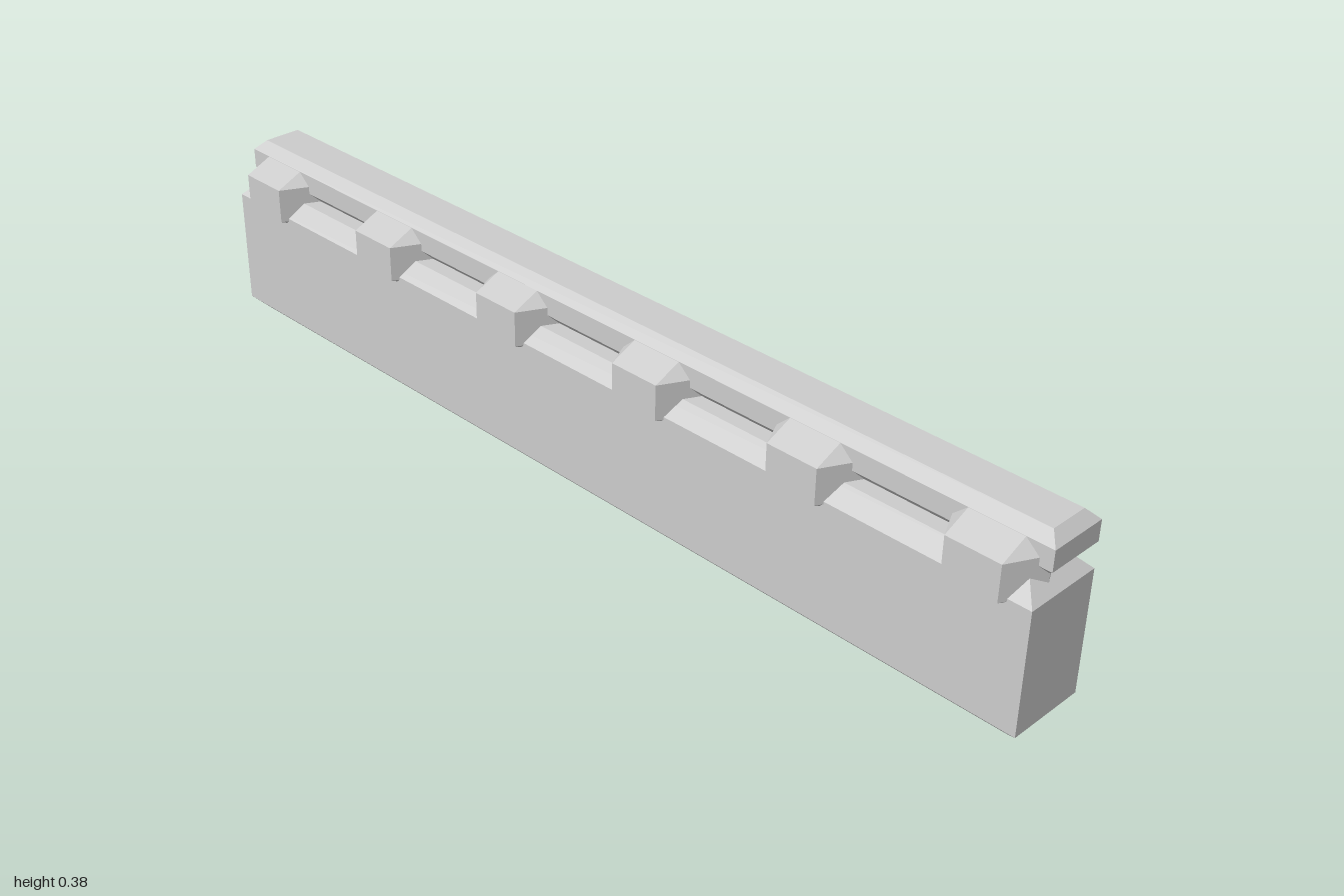
import * as THREE from 'three';

const grey = new THREE.MeshStandardMaterial({ color: 0xcccccc, flatShading: true });

// Skin a list of equal-length rings (counter-clockwise about the loft axis) and cap both ends
function loft(rings) {
  const pos = [];
  const tri = (a, b, c) => {
    const t = new THREE.Triangle(a, b, c);
    if (t.getArea() > 1e-9) for (const p of [a, b, c]) pos.push(p.x, p.y, p.z);
  };
  const n = rings[0].length;
  for (let i = 0; i + 1 < rings.length; i++) {
    for (let j = 0; j < n; j++) {
      const k = (j + 1) % n;
      const lo = rings[i], hi = rings[i + 1];
      tri(lo[j], lo[k], hi[k]);
      tri(lo[j], hi[k], hi[j]);
    }
  }
  const first = rings[0], last = rings[rings.length - 1];
  for (let j = 1; j + 1 < n; j++) {
    tri(first[0], first[j + 1], first[j]);
    tri(last[0], last[j], last[j + 1]);
  }
  const g = new THREE.BufferGeometry();
  g.setAttribute('position', new THREE.Float32BufferAttribute(pos, 3));
  g.computeVertexNormals();
  return g;
}

// Long bar whose top and bottom rims are bevelled by d
function bevelledBar(halfLength, y0, y1, z0, z1, d) {
  const ring = (y, inset) => {
    const x = halfLength - inset, a = z0 + inset, b = z1 - inset;
    return [[x, b], [x, a], [-x, a], [-x, b]].map(([px, pz]) => new THREE.Vector3(px, y, pz));
  };
  return loft([ring(y0, d), ring(y0 + d, 0), ring(y1 - d, 0), ring(y1, d)]);
}

// Faceted stud: small rectangular ends swelling to an octagon in the middle
function studGeometry() {
  const w0 = 0.053, h0 = 0.035, w = 0.09, h = 0.068, depth = 0.074;
  const ring = (z, rw, rh) => [
    [rw, -h0], [rw, h0], [w0, rh], [-w0, rh],
    [-rw, h0], [-rw, -h0], [-w0, -rh], [w0, -rh],
  ].map(([x, y]) => new THREE.Vector3(x, y, z));
  return loft([ring(-depth, w0, h0), ring(0, w, h), ring(depth, w0, h0)]);
}

export function createModel() {
  const group = new THREE.Group();
  const add = (name, geometry) => {
    const mesh = new THREE.Mesh(geometry, grey);
    mesh.name = name;
    group.add(mesh);
    return mesh;
  };

  // Tall beam and the thin cap rail resting on its back edge
  add('beam', bevelledBar(1, 0, 0.3, -0.086, 0.073, 0.03));
  add('capRail', bevelledBar(1, 0.3, 0.38, -0.086, 0.032, 0.02));

  // Row of studs along the front seam
  const stud = studGeometry();
  for (let i = 0; i < 6; i++) {
    add('stud' + (i + 1), stud).position.set((i - 2.5) * 0.358, 0.3, 0.013);
  }
  return group;
}
